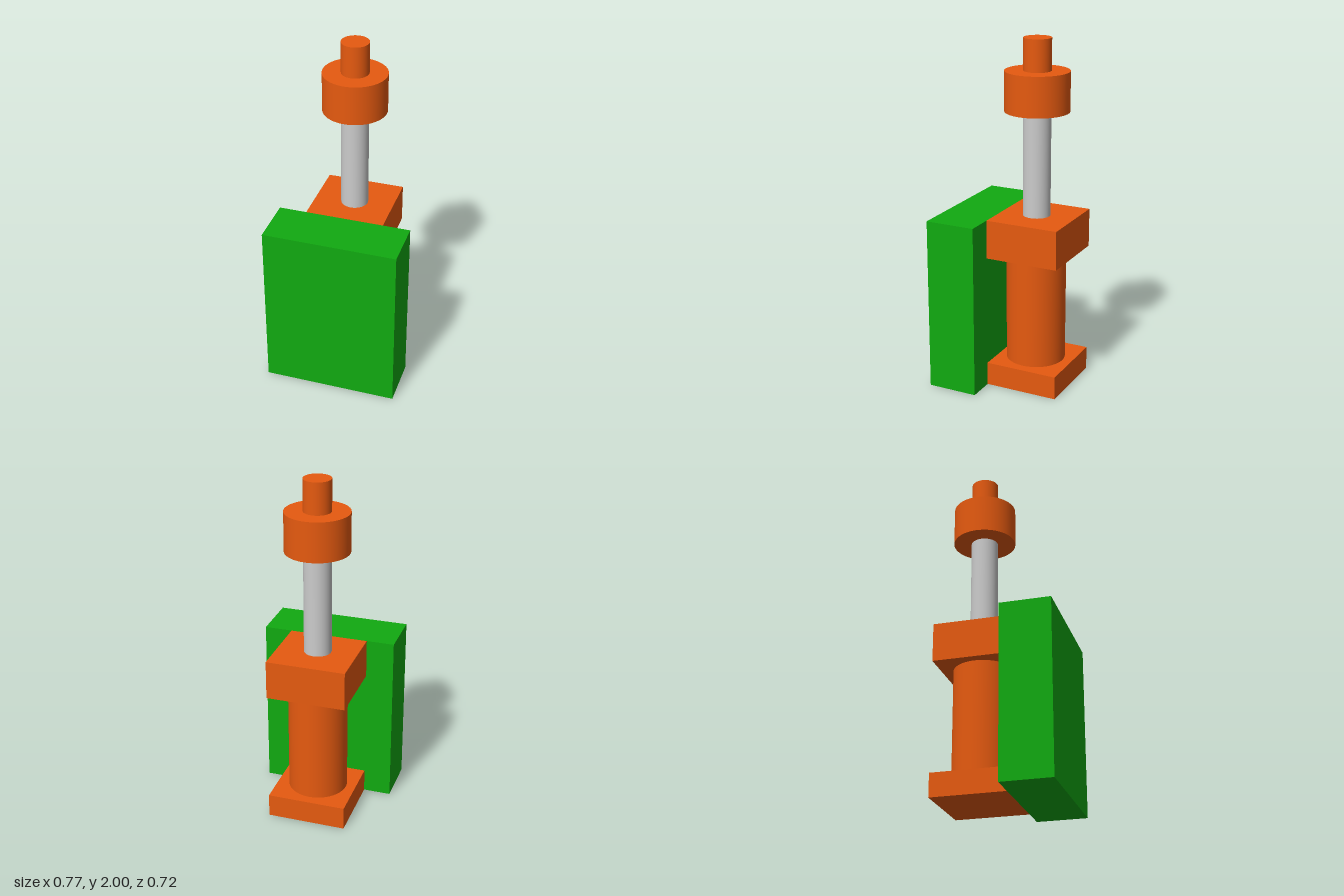
import * as THREE from 'three';

const ORANGE = new THREE.MeshStandardMaterial({ color: 0xe65a10 });
const GREEN = new THREE.MeshStandardMaterial({ color: 0x11aa11 });
const GREY = new THREE.MeshStandardMaterial({ color: 0xcccccc });

const AXIS_Z = -0.132; // common axis of barrel, rod and collar

export function createModel() {
  const group = new THREE.Group();

  const add = (name, geometry, material, y, z) => {
    const mesh = new THREE.Mesh(geometry, material);
    mesh.name = name;
    mesh.position.set(0, y, z);
    group.add(mesh);
  };
  // Box symmetric in x, given by its y and z extents
  const box = (name, width, y0, y1, z0, z1, material) =>
    add(name, new THREE.BoxGeometry(width, y1 - y0, z1 - z0), material, (y0 + y1) / 2, (z0 + z1) / 2);
  // Upright cylinder on the common axis
  const cylinder = (name, radius, y0, y1, material) =>
    add(name, new THREE.CylinderGeometry(radius, radius, y1 - y0, 64), material, (y0 + y1) / 2, AXIS_Z);

  // Mounting block at the front
  box('mountingBlock', 0.77, 0, 1, 0.068, 0.358, GREEN);

  // Cylinder body between two square end caps
  box('lowerCap', 0.453, 0, 0.135, -0.358, 0.068, ORANGE);
  box('upperCap', 0.453, 0.777, 1, -0.358, 0.068, ORANGE);
  cylinder('barrel', 0.17, 0.135, 0.777, ORANGE);

  // Piston rod with collar and end stud
  cylinder('pistonRod', 0.078, 1, 1.595, GREY);
  cylinder('collar', 0.181, 1.595, 1.82, ORANGE);
  cylinder('endStud', 0.078, 1.82, 2, ORANGE);

  return group;
}
